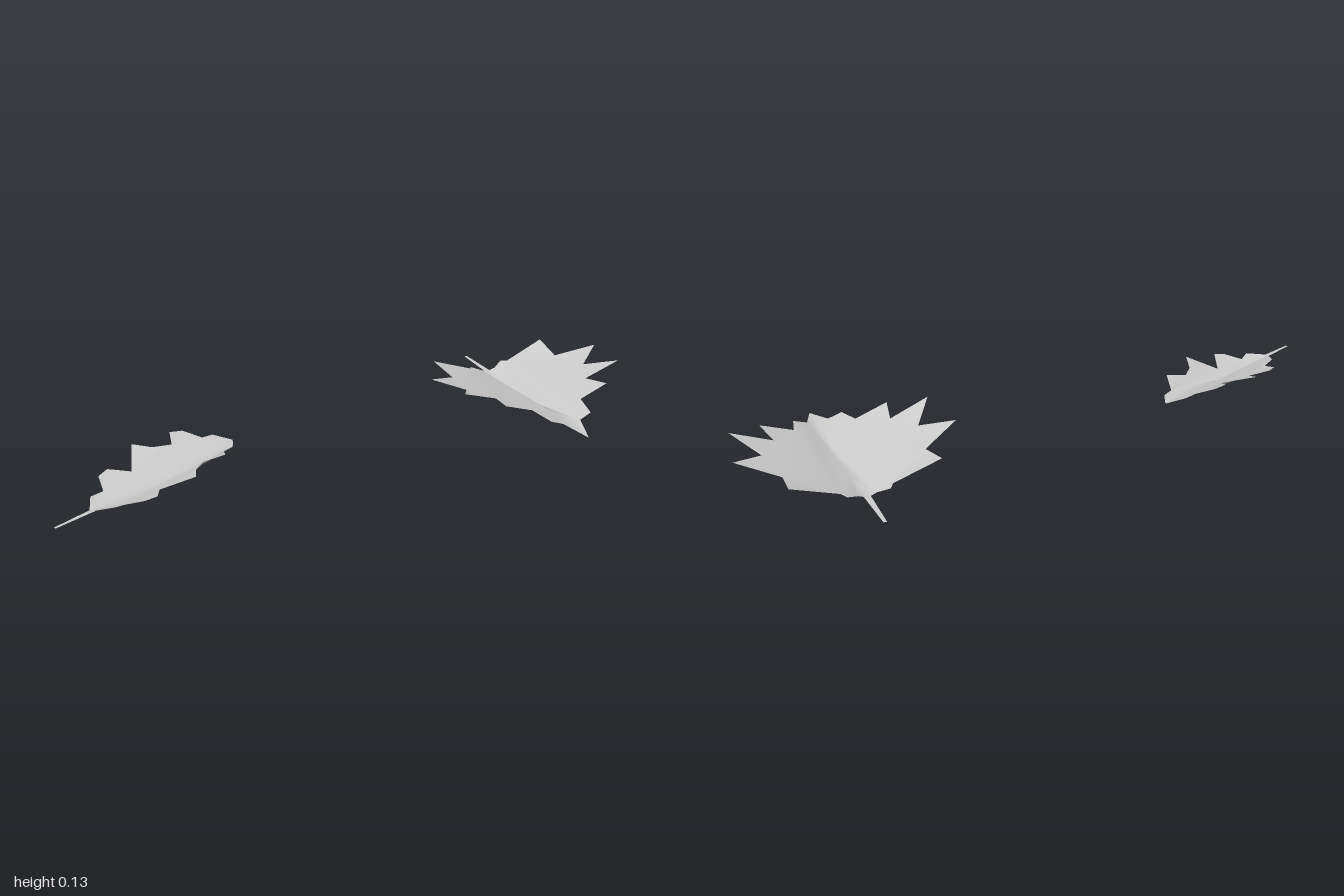
import * as THREE from 'three';

const leafGrey = new THREE.MeshStandardMaterial({ color: 0xcccccc, side: THREE.DoubleSide });
leafGrey.name = 'leaf grey';

// Indexed surface whose triangles all face up
function surface(name, points, triangles) {
  const index = [];
  for (const [a, b, c] of triangles) {
    const [p, q, r] = [points[a], points[b], points[c]];
    const ny = (q.z - p.z) * (r.x - p.x) - (q.x - p.x) * (r.z - p.z);
    index.push(...(ny > 0 ? [a, b, c] : [a, c, b]));
  }
  const geometry = new THREE.BufferGeometry().setFromPoints(points);
  geometry.setIndex(index);
  geometry.computeVertexNormals();
  const mesh = new THREE.Mesh(geometry, leafGrey);
  mesh.name = name;
  return mesh;
}

// Leaf in local [u along the midrib, v across]; both halves fold up from the midrib
function leaf({ name, origin, forward, rib, sides, slope, stemEnd, stemWidth }) {
  const group = new THREE.Group();
  group.name = name;
  const [fx, fz] = forward;
  const flip = Math.sign(fz) || 1;
  const [rx, rz] = [fz * flip, -fx * flip];
  const ribY = (u) => {
    let i = 1;
    while (i < rib.length - 1 && u > rib[i][0]) i++;
    const [u0, y0] = rib[i - 1], [u1, y1] = rib[i];
    return THREE.MathUtils.lerp(y0, y1, THREE.MathUtils.clamp((u - u0) / (u1 - u0), 0, 1));
  };
  const place = ([u, v], y) => new THREE.Vector3(origin[0] + u * fx + v * rx, y, origin[1] + u * fz + v * rz);

  // Blade: the halves share the midrib vertices
  const spine = rib.map(([u]) => [u, 0]);
  const flat = [...spine];
  const triangles = [];
  for (const side of sides) {
    const ids = spine.map((_, i) => i);
    for (const p of side) ids.push(flat.push(p) - 1);
    const contour = ids.map((i) => new THREE.Vector2(...flat[i]));
    for (const t of THREE.ShapeUtils.triangulateShape(contour, [])) triangles.push(t.map((k) => ids[k]));
  }
  group.add(surface('blade', flat.map((p) => place(p, ribY(p[0]) + slope * Math.abs(p[1]))), triangles));

  // Stem: a flat tapering strip
  const [u0, y0] = rib[0];
  const w = stemWidth / 2;
  const corners = [[u0 + 0.01, -w], [u0 + 0.01, w], [stemEnd, w * 0.5], [stemEnd, -w * 0.5]];
  group.add(surface('stem', corners.map((p) => place(p, y0)), [[0, 1, 2], [0, 2, 3]]));
  return group;
}

export function createModel() {
  const model = new THREE.Group();
  model.name = 'leaves';

  // Broad toothed leaf, half outline from tip to base
  const broadHalf = [
    [0.271, 0.033], [0.267, 0.076], [0.184, 0.095], [0.184, 0.196], [0.095, 0.177], [0.104, 0.301],
    [0.004, 0.233], [-0.065, 0.327], [-0.128, 0.208], [-0.237, 0.218],
    [-0.228, 0.075], [-0.247, 0.062], [-0.229, 0.026],
  ];
  model.add(leaf({
    name: 'broadLeaf',
    origin: [0.665, 0],
    forward: [-0.1, 0.995],
    rib: [[-0.232, 0.073], [-0.12, 0.057], [-0.02, 0.057], [0.08, 0.075], [0.18, 0.083], [0.366, 0.077]],
    sides: [broadHalf, broadHalf.map(([u, v]) => [u, -v])],
    slope: 0.355,
    stemEnd: -0.381,
    stemWidth: 0.02,
  }));

  // Narrow lobed leaf with uneven halves, each from tip to base
  const backHalf = [
    [0.282, -0.017], [0.239, -0.062], [0.201, -0.066], [0.165, -0.115], [0.124, -0.127], [0.095, -0.085],
    [0.042, -0.111], [-0.001, -0.156], [-0.067, -0.08], [-0.122, -0.122], [-0.163, -0.112],
    [-0.189, -0.058], [-0.241, -0.05], [-0.279, -0.006],
  ];
  const frontHalf = [
    [0.243, 0.023], [0.203, 0.028], [0.16, 0.083], [0.096, 0.054], [0.045, 0.079], [0.003, 0.128],
    [-0.069, 0.048], [-0.123, 0.105], [-0.158, 0.09], [-0.194, 0.041], [-0.229, 0.048], [-0.279, 0.006],
  ];
  // The across axis points to -z here or +z by the fold rule, so mirror to match
  const mirror = (half) => half.map(([u, v]) => [u, v]);
  model.add(leaf({
    name: 'narrowLeaf',
    origin: [-0.612, -0.096],
    forward: [0.964, -0.266],
    rib: [[-0.279, 0.093], [-0.174, 0.073], [-0.08, 0.073], [0.02, 0.087], [0.1, 0.1], [0.267, 0.095]],
    sides: [mirror(backHalf), mirror(frontHalf)],
    slope: 0.4,
    stemEnd: -0.403,
    stemWidth: 0.016,
  }));

  return model;
}
